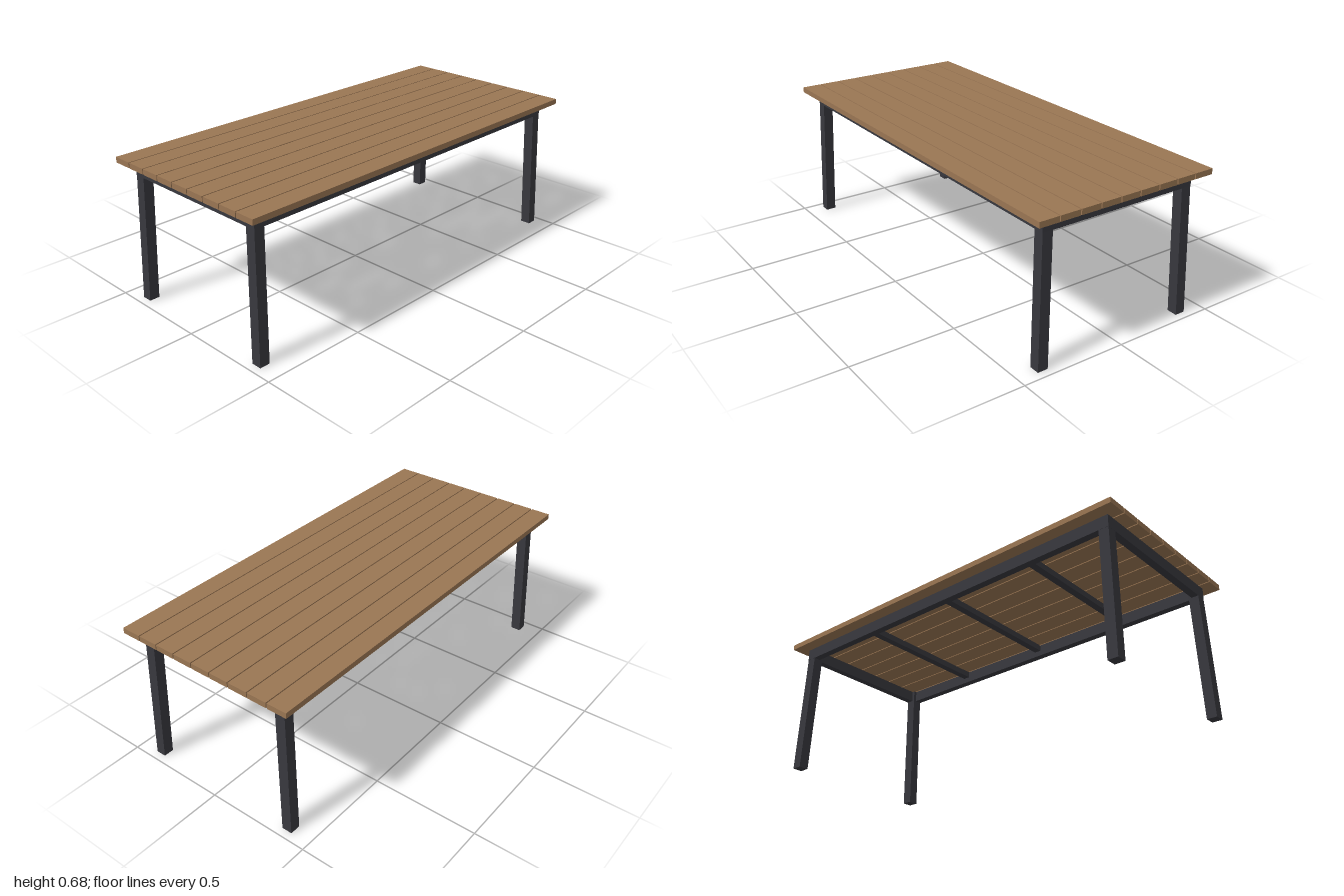
import * as THREE from 'three';

export function createModel() {
  const table = new THREE.Group();
  table.name = 'slattedTable';
  const wood = new THREE.MeshStandardMaterial({ color: 0x9a7653 });
  wood.name = 'warm wood';
  const metal = new THREE.MeshStandardMaterial({ color: 0x38383e });
  metal.name = 'charcoal metal';

  const box = (name, material, [w, h, d], [x, y, z]) => {
    const mesh = new THREE.Mesh(new THREE.BoxGeometry(w, h, d), material);
    mesh.name = name;
    mesh.position.set(x, y, z);
    table.add(mesh);
    return mesh;
  };

  // Nine lengthwise planks with narrow gaps
  for (let i = 0; i < 9; i++) {
    box(`plank${i + 1}`, wood, [2, 0.026, 0.0955], [0, 0.67, (i - 4) * 0.1006]);
  }

  // Apron frame under the planks
  const top = 0.657, apronHeight = 0.057, thick = 0.035;
  const apronY = top - apronHeight / 2;
  for (const s of [1, -1]) {
    box(s > 0 ? 'frontApron' : 'backApron', metal,
      [1.89, apronHeight, thick], [0, apronY, s * (0.39 - thick / 2)]);
    box(s > 0 ? 'leftApron' : 'rightApron', metal,
      [thick, apronHeight, 0.71], [s * (0.945 - thick / 2), apronY, 0]);
  }

  // Cross bars supporting the planks
  for (const x of [-0.5, 0, 0.5]) {
    box('crossBar', metal, [thick, 0.03, 0.71], [x, top - 0.015, 0]);
  }

  // Square legs, splayed outward toward a level foot
  const legHeight = 0.655;
  for (const sx of [1, -1]) {
    for (const sz of [1, -1]) {
      const name = (sz > 0 ? 'front' : 'back') + (sx > 0 ? 'Left' : 'Right') + 'Leg';
      const leg = box(name, metal, [0.049, legHeight, 0.049],
        [sx * 0.928, legHeight / 2, sz * 0.3725]);
      const p = leg.geometry.attributes.position;
      for (let i = 0; i < p.count; i++) {
        const t = -p.getY(i) / legHeight;
        p.setX(i, p.getX(i) + sx * t * 0.019);
        p.setZ(i, p.getZ(i) + sz * t * 0.019);
      }
      leg.geometry.computeVertexNormals();
    }
  }
  return table;
}
